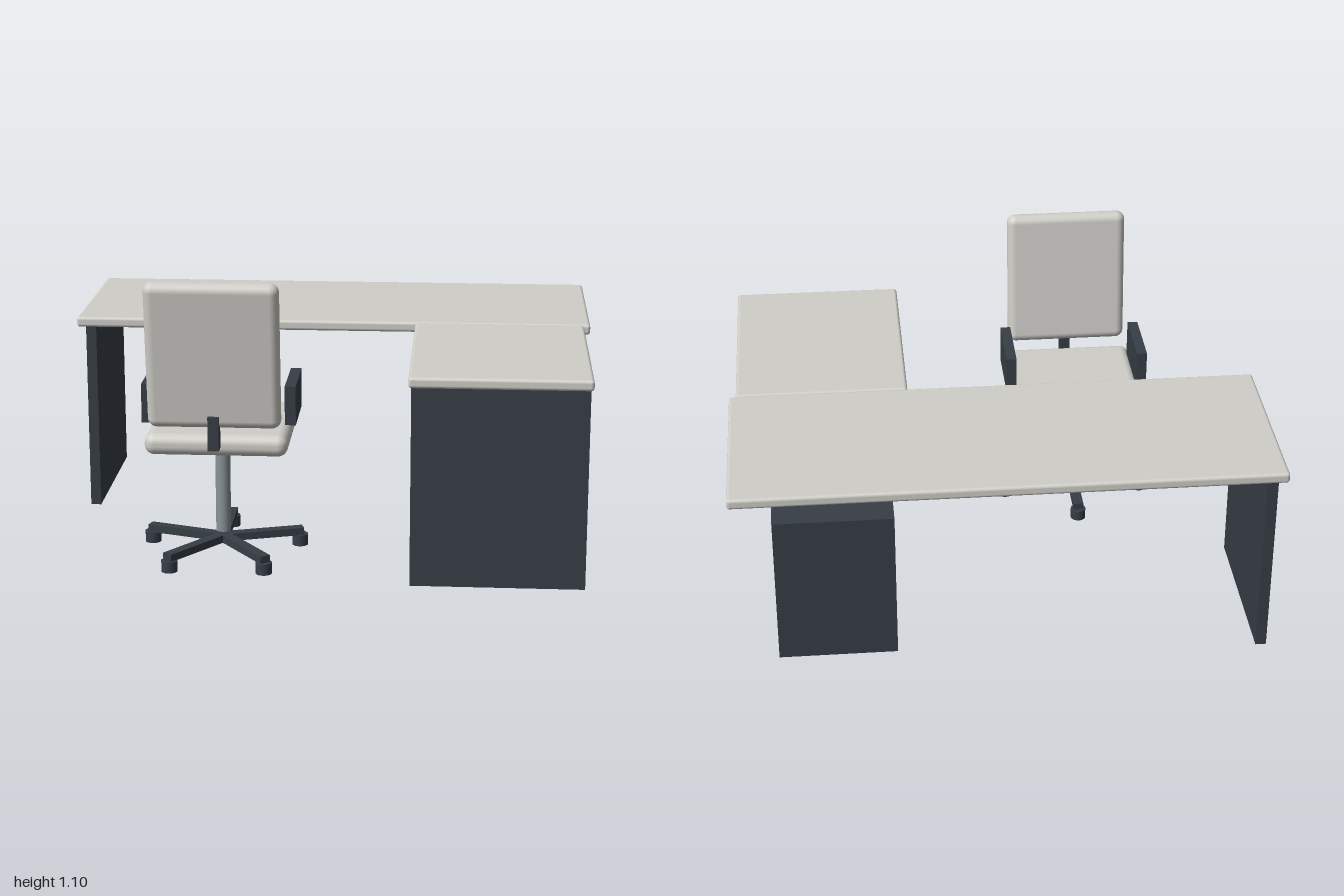
import * as THREE from 'three';
import { RoundedBoxGeometry } from 'three/addons/geometries/RoundedBoxGeometry.js';

const material = (name, color) => {
  const m = new THREE.MeshStandardMaterial({ color });
  m.name = name;
  return m;
};

export function createModel() {
  const pale = material('warm pale grey', 0xd0cec8);
  const dark = material('charcoal', 0x363e46);
  const metal = material('steel grey', 0x8a939b);

  const add = (parent, name, geometry, mat, x, y, z) => {
    const mesh = new THREE.Mesh(geometry, mat);
    mesh.name = name;
    mesh.position.set(x, y, z);
    parent.add(mesh);
    return mesh;
  };
  const box = (w, h, d) => new THREE.BoxGeometry(w, h, d);
  const rounded = (w, h, d, r) => new RoundedBoxGeometry(w, h, d, 4, r);
  const group = (name, parent) => {
    const g = new THREE.Group();
    g.name = name;
    if (parent) parent.add(g);
    return g;
  };

  const model = group('deskAndChair');

  // L-shaped desk
  const desk = group('desk', model);
  add(desk, 'mainTop', rounded(2, 0.04, 0.73, 0.012), pale, 0, 0.76, -0.42);
  add(desk, 'returnTop', rounded(0.65, 0.04, 0.835, 0.012), pale, 0.65, 0.76, 0.3625);
  add(desk, 'sidePanel', box(0.04, 0.74, 0.65), dark, -0.95, 0.37, -0.415);
  add(desk, 'returnPanel', box(0.63, 0.74, 0.04), dark, 0.65, 0.37, 0.74);

  // Drawer pedestal with one handle
  const pedestal = group('pedestal', desk);
  add(pedestal, 'cabinet', box(0.44, 0.59, 0.59), dark, 0.63, 0.315, -0.395);
  add(pedestal, 'handle', box(0.12, 0.018, 0.02), metal, 0.63, 0.478, -0.09);

  // Swivel chair, built around its column
  const chair = group('chair', model);
  chair.position.set(-0.37, 0, 0.46);
  add(chair, 'seat', rounded(0.52, 0.08, 0.505, 0.036), pale, 0, 0.486, -0.0225);
  const back = add(chair, 'backrest', rounded(0.48, 0.545, 0.068, 0.033), pale, 0, 0.833, 0.261);
  back.rotation.x = 0.12;
  add(chair, 'backBracket', box(0.04, 0.125, 0.05), dark, 0, 0.548, 0.258);
  for (const s of [-1, 1]) {
    add(chair, s > 0 ? 'leftArmrest' : 'rightArmrest', box(0.04, 0.145, 0.27), dark, s * 0.262, 0.612, -0.02);
  }
  add(chair, 'column', new THREE.CylinderGeometry(0.028, 0.028, 0.355, 24), metal, 0, 0.2725, 0);

  // Five-spoke base with a caster under each spoke end
  const base = group('starBase', chair);
  for (let i = 0; i < 5; i++) {
    const spoke = group('spoke' + (i + 1), base);
    spoke.rotation.y = (i * Math.PI * 2) / 5;
    add(spoke, 'spokeArm', box(0.04, 0.028, 0.305), dark, 0, 0.068, -0.1525);
    add(spoke, 'caster', new THREE.CylinderGeometry(0.03, 0.03, 0.042, 20), dark, 0, 0.034, -0.294);
  }
  return model;
}
